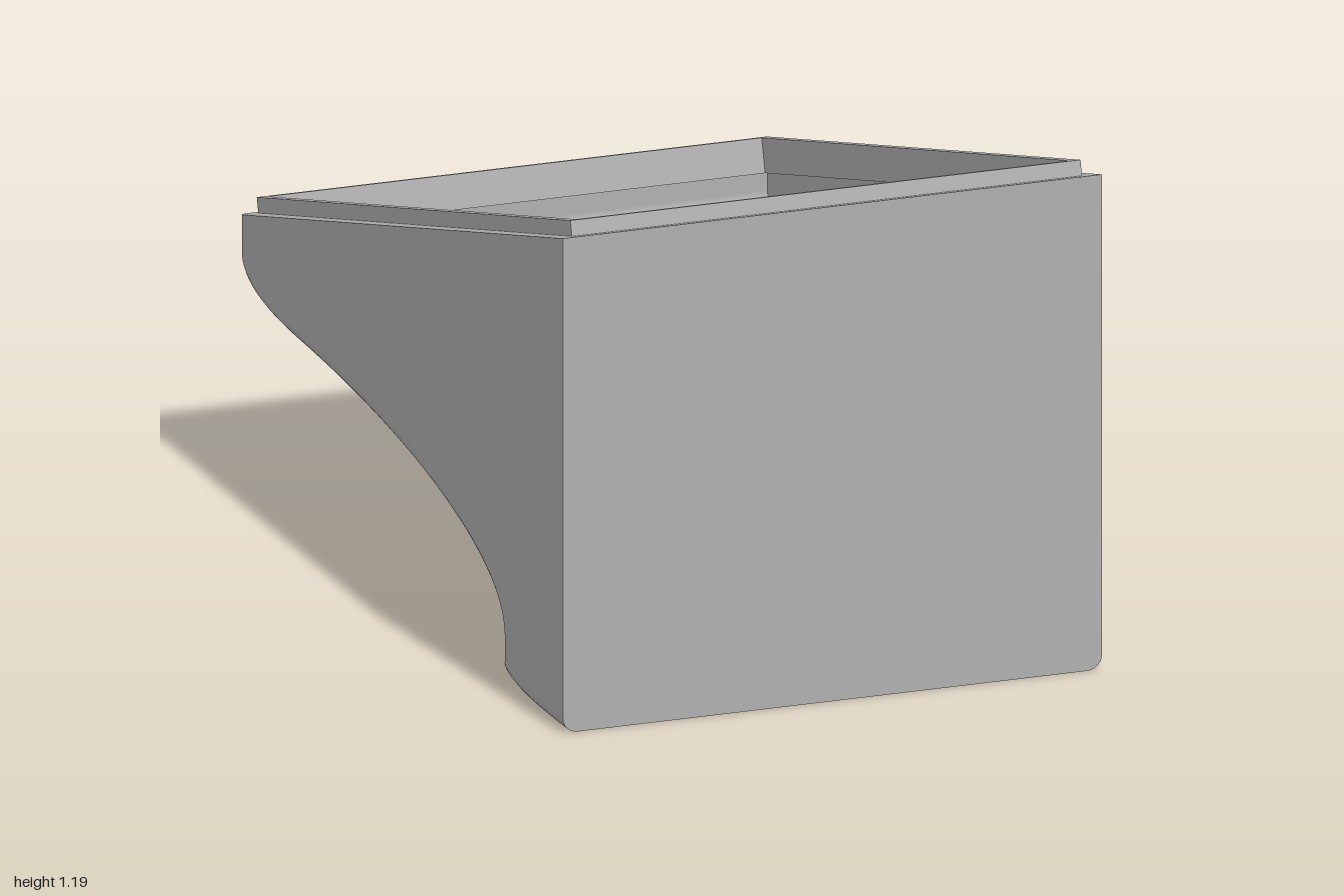
import * as THREE from 'three';

const W = 0.65, WALL = 0.035, ROUND = 0.035;     // half width, wall thickness, edge rounding
const SLOPE = 0.2675;
const top = (z) => 0.8975 + SLOPE * z;           // height of the sloping rim
const V2 = (x, y) => new THREE.Vector2(x, y);

// Underside profile as (z, y), from the front bottom edge to the back rim
function makeProfile() {
  const bez = (...p) => new THREE.CubicBezierCurve(...p.map(([z, y]) => V2(z, y)));
  const base = bez([1, 0], [0.85, 0], [0.62, 0], [0.615, 0.05]).getPoints(24);
  const belly = bez([0.615, 0.12], [0.615, 0.27], [0.1, 0.4], [-0.65, 0.43]).getPoints(30);
  const tail = bez([-0.65, 0.43], [-0.88, 0.44], [-1, 0.47], [-1, 0.55]).getPoints(18);
  return [...base, ...belly, ...tail.slice(1), V2(-1, top(-1))];
}

// Profile moved inwards by d; points that would fold over collapse onto their neighbour
function inset(profile, d) {
  const n = profile.length;
  let last = null;
  return profile.map((p, i) => {
    const t = profile[Math.min(i + 1, n - 1)].clone().sub(profile[Math.max(i - 1, 0)]).normalize();
    if (i === 0) t.set(-1, 0);
    if (i === n - 1) t.set(0, 1);
    const q = V2(p.x + t.y * d, p.y - t.x * d);
    if (i === n - 1) q.y = top(q.x);
    const folded = profile.some((o) => o.distanceTo(q) < d * 0.97);
    if (!folded || !last || i === n - 1) last = q;
    return last.clone();
  });
}

// Surface through rows of points
function grid(rows) {
  const m = rows[0].length, pos = [], index = [];
  rows.forEach((row) => row.forEach((p) => pos.push(...p)));
  for (let i = 0; i < rows.length - 1; i++) {
    for (let k = 0; k < m - 1; k++) {
      const a = i * m + k, b = a + m;
      index.push(a, b, a + 1, b, b + 1, a + 1);
    }
  }
  const g = new THREE.BufferGeometry();
  g.setAttribute('position', new THREE.Float32BufferAttribute(pos, 3));
  g.setIndex(index);
  g.computeVertexNormals();
  return g;
}

// Flat outline placed in space by a mapping (u, v) -> [x, y, z]
function plate(points, map, hole) {
  const clean = points.filter((p, i) => i === 0 || p.distanceTo(points[i - 1]) > 1e-5);
  const shape = new THREE.Shape(clean);
  if (hole) shape.holes.push(new THREE.Path(hole));
  const g = new THREE.ShapeGeometry(shape), pos = g.attributes.position;
  for (let i = 0; i < pos.count; i++) pos.setXYZ(i, ...map(pos.getX(i), pos.getY(i)));
  g.computeVertexNormals();
  return g;
}

const rect = (x, a, b) => [V2(-x, a), V2(x, a), V2(x, b), V2(-x, b)];

export function createModel() {
  const model = new THREE.Group();
  model.name = 'slopedEnclosure';
  const grey = new THREE.MeshStandardMaterial({ color: 0xb0b0b0, side: THREE.DoubleSide });
  grey.name = 'grey plastic';
  const add = (name, geometry) => {
    const mesh = new THREE.Mesh(geometry, grey);
    mesh.name = name;
    model.add(mesh);
    return mesh;
  };

  const profile = makeProfile();

  // Cross-section of the underside: flat middle with rounded long edges
  const half = [];
  for (let k = 0; k <= 6; k++) {
    const a = (k / 6) * Math.PI / 2;
    half.push({ x: W - ROUND + ROUND * Math.sin(a), path: inset(profile, ROUND * (1 - Math.cos(a))) });
  }
  const cross = [...half.map((c) => ({ x: -c.x, path: c.path })).reverse(), ...half];
  add('undersideShell', grid(profile.map((_, i) => cross.map((c) => [c.x, c.path[i].y, c.path[i].x]))));

  // Outer side walls
  const edge = half[half.length - 1].path;
  const sideWall = (x, s, path, zFront) =>
    plate([...path, V2(zFront, top(zFront))].map((p) => V2(-s * p.x, p.y)), (u, v) => [x, v, -s * u]);
  add('leftWall', sideWall(W, 1, edge, 1));
  add('rightWall', sideWall(-W, -1, edge, 1));

  // Front wall with rounded lower corners
  const frontOutline = [...cross.map((c) => V2(c.x, c.path[0].y)), V2(W, top(1)), V2(-W, top(1))];
  add('frontWall', plate(frontOutline, (u, v) => [u, v, 1]));

  // Cavity: curved floor, sides and front
  const inX = W - WALL, inZ = 1 - WALL;
  const inner = inset(profile, WALL).map((p) => V2(Math.min(p.x, inZ), p.y));
  add('cavityFloor', grid(inner.map((p) => [[inX, p.y, p.x], [-inX, p.y, p.x]])));
  add('cavityLeft', sideWall(inX, -1, inner, inZ));
  add('cavityRight', sideWall(-inX, 1, inner, inZ));
  add('cavityFront', plate(rect(inX, WALL, top(inZ)), (u, v) => [-u, v, inZ]));

  // Sloping rim around the opening, rounded at the back corners
  const last = profile.length - 1;
  const rimOutline = [V2(-W, -1), V2(W, -1),
    ...cross.map((c) => V2(c.x, -c.path[last].x)).reverse()];
  add('rim', plate(rimOutline, (u, v) => [u, top(-v), -v], rect(inX, -inZ, inZ)));

  // Raised lip frame standing square to the slope
  const frame = new THREE.Shape(rect(inX, -0.997, 0.997));
  frame.holes.push(new THREE.Path(rect(inX - 0.02, -0.977, 0.977)));
  const lip = new THREE.ExtrudeGeometry(frame, { depth: 0.08, bevelEnabled: false });
  lip.translate(0, 0, -0.044);
  lip.rotateX(-Math.PI / 2 - Math.atan(SLOPE));
  add('lip', lip).position.set(0, top(0.003), 0.003);

  return model;
}
